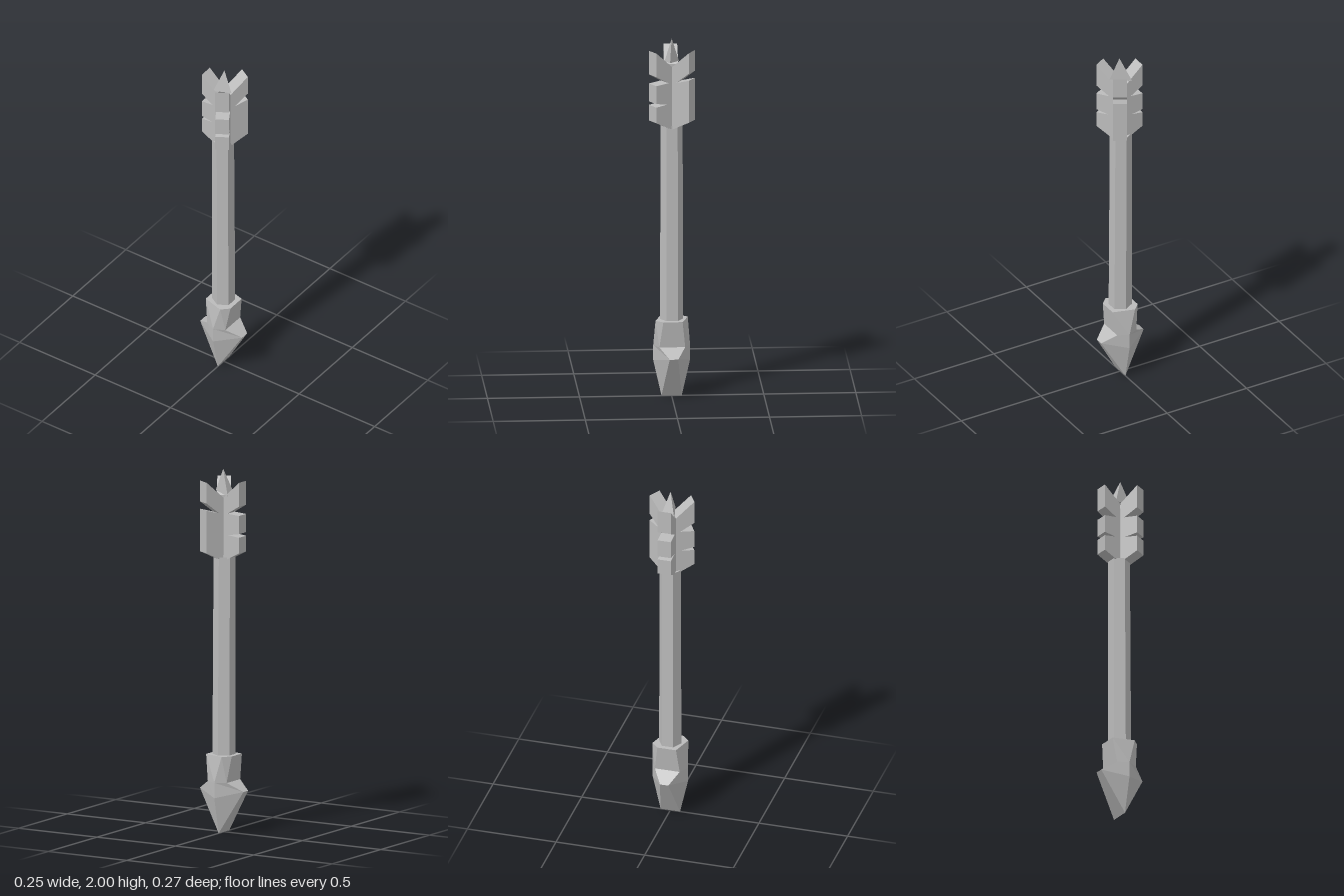
import * as THREE from 'three';

// Skins matching rings of [x, y, z] points, listed bottom to top, and caps both ends.
// Each ring runs right, front, left, back.
function loft(rings) {
  const pos = [];
  const tri = (a, b, c) => pos.push(...a, ...b, ...c);
  const n = rings[0].length;
  for (let r = 0; r < rings.length - 1; r++) {
    for (let i = 0; i < n; i++) {
      const j = (i + 1) % n;
      const [a, b, c, d] = [rings[r][i], rings[r][j], rings[r + 1][j], rings[r + 1][i]];
      tri(a, c, b);
      tri(a, d, c);
    }
  }
  const top = rings[rings.length - 1];
  for (let i = 1; i < n - 1; i++) {
    tri(rings[0][0], rings[0][i], rings[0][i + 1]);
    tri(top[0], top[i + 1], top[i]);
  }
  const g = new THREE.BufferGeometry();
  g.setAttribute('position', new THREE.Float32BufferAttribute(pos, 3));
  g.computeVertexNormals();
  return g;
}

// Six-point ring with half-turn symmetry, given its right, front-right and front-left points.
function hexRing(...half) {
  return [...half, ...half.map(([x, y, z]) => [-x, y, -z])];
}

// Feather outline in (radius, height): one wide gap, and an optional slit below it.
function fletchingShape({ outer, gap, slit }) {
  const inner = 0.0217;
  const pts = [[inner, 1.5], [outer, 1.55]];
  if (slit) pts.push([outer, 1.637], [0.05, 1.645], [outer, 1.657]);
  pts.push([outer, gap[0]], [0.045, 1.763], [outer, gap[1]], [outer, 1.94], [inner, 1.85]);
  return new THREE.Shape(pts.map(([x, y]) => new THREE.Vector2(x, y)));
}

export function createModel() {
  const group = new THREE.Group();
  const grey = new THREE.MeshStandardMaterial({ color: 0xbbbbbb, flatShading: true });
  grey.name = 'grey';
  const add = (name, geometry) => {
    const mesh = new THREE.Mesh(geometry, grey);
    mesh.name = name;
    group.add(mesh);
    return mesh;
  };

  // Faceted arrowhead: blade edge at the bottom, flared ridge, waist and twisted collar
  add('arrowhead', loft([
    hexRing([0.055, 0, 0], [0.055, 0, 0], [-0.055, 0, 0]),
    hexRing([0.1, 0.2, 0], [0.028, 0.235, 0.136], [-0.019, 0.235, 0.136]),
    hexRing([0.1, 0.285, 0], [0.07, 0.285, 0.06], [-0.07, 0.285, 0.06]),
    hexRing([0.09, 0.43, -0.04], [0.055, 0.43, 0.08], [-0.05, 0.43, 0.08]),
  ]));

  // Six-sided shaft, leaning back slightly
  const hex = (y, r, z) => Array.from({ length: 6 }, (_, i) => {
    const a = i * Math.PI / 3;
    return [r * Math.cos(a), y, z + r * Math.sin(a)];
  });
  add('shaft', loft([hex(0.4, 0.063, 0), hex(1.52, 0.06, -0.004)]));

  // Three thick feathers around the shaft
  const thickness = 0.075;
  const fletchings = [
    { name: 'leftFletching', degrees: -30, z: 0.003, outer: 0.124, gap: [1.785, 1.825], slit: false },
    { name: 'rightFletching', degrees: -150, z: 0.003, outer: 0.124, gap: [1.757, 1.808], slit: true },
    { name: 'backFletching', degrees: 90, z: 0, outer: 0.118, gap: [1.757, 1.808], slit: true },
  ];
  for (const f of fletchings) {
    const g = new THREE.ExtrudeGeometry(fletchingShape(f), { depth: thickness, bevelEnabled: false });
    g.translate(0, 0, -thickness / 2);
    const mesh = add(f.name, g);
    mesh.rotation.y = THREE.MathUtils.degToRad(f.degrees);
    mesh.position.z = f.z;
  }

  // Pointed nock between the feathers
  const tip = [0, 2, 0.005];
  add('nock', loft([
    [[0.043, 1.86, -0.05], [-0.012, 1.875, 0.06], [-0.035, 1.86, -0.045]],
    [tip, tip, tip],
  ]));
  return group;
}
